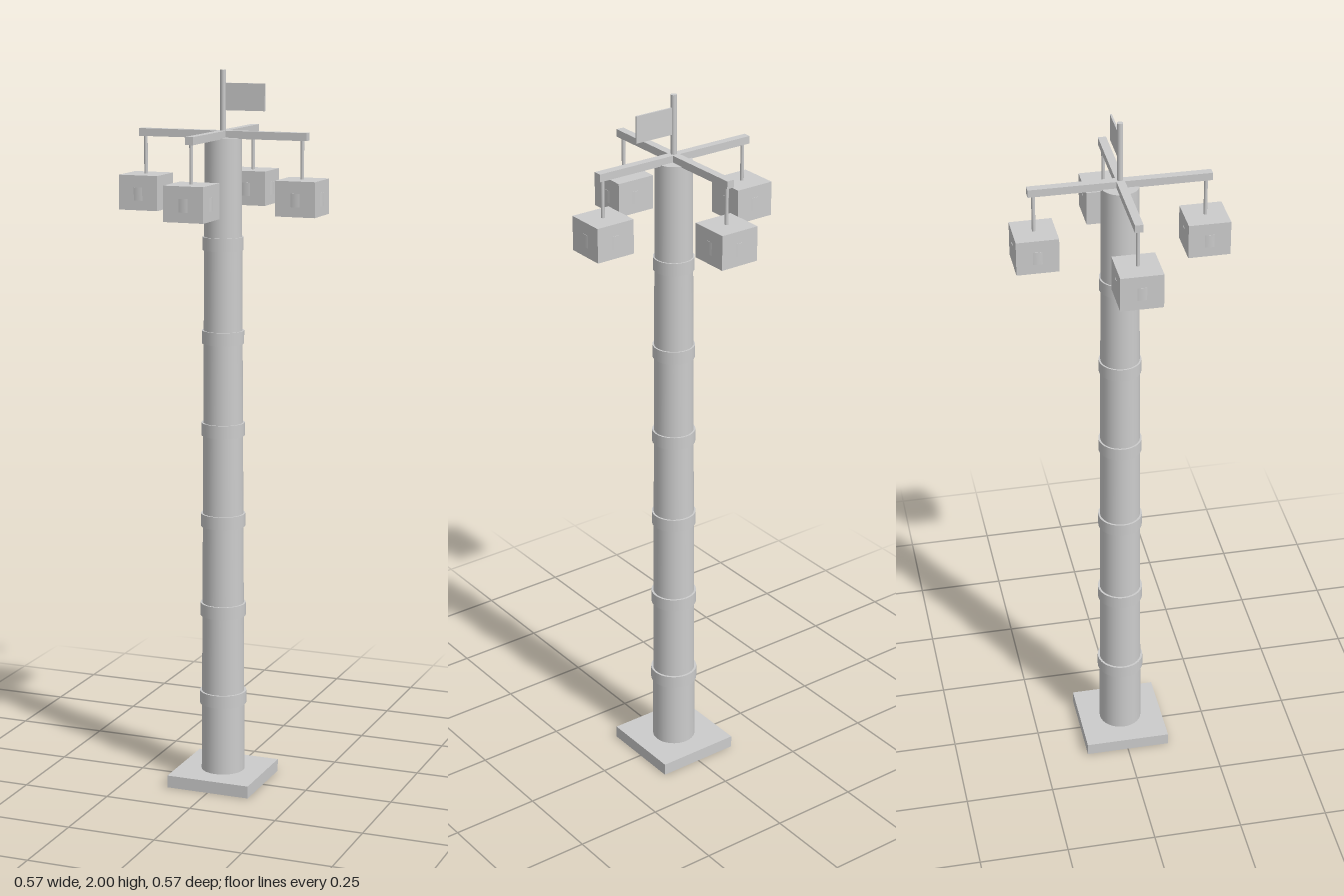
import * as THREE from 'three';

export function createModel() {
  const model = new THREE.Group();
  const grey = new THREE.MeshStandardMaterial({ color: 0xcccccc });
  grey.name = 'light grey';

  const add = (parent, name, geometry, x, y, z) => {
    const mesh = new THREE.Mesh(geometry, grey);
    mesh.name = name;
    mesh.position.set(x, y, z);
    parent.add(mesh);
    return mesh;
  };

  // Square plinth and tapered column
  const bottom = 0.035, top = 1.82;
  const radiusAt = (y) => THREE.MathUtils.mapLinear(y, bottom, top, 0.061, 0.05);
  add(model, 'base', new THREE.BoxGeometry(0.242, bottom, 0.242), 0, bottom / 2, 0);
  add(model, 'column', new THREE.CylinderGeometry(radiusAt(top), radiusAt(bottom), top - bottom, 32),
    0, (top + bottom) / 2, 0);

  // Evenly spaced collars that shrink with the column
  for (let i = 0; i < 6; i++) {
    const y = 0.249 + i * 0.257;
    const r = radiusAt(y) + 0.006 - i * 0.0004;
    add(model, 'collar', new THREE.CylinderGeometry(r, r, 0.036, 32), 0, y, 0);
  }

  // Crossed arms
  add(model, 'crossArm', new THREE.BoxGeometry(0.484, 0.021, 0.022), 0, 1.828, 0);
  add(model, 'crossArm', new THREE.BoxGeometry(0.022, 0.021, 0.484), 0, 1.828, 0);

  // Four hanging lanterns, each with a round core just breaking its sides
  for (let i = 0; i < 4; i++) {
    const lantern = new THREE.Group();
    lantern.name = 'lantern';
    lantern.rotation.y = i * Math.PI / 2;
    add(lantern, 'hanger', new THREE.CylinderGeometry(0.005, 0.005, 0.11, 12), 0.2265, 1.766, 0);
    add(lantern, 'lanternBox', new THREE.BoxGeometry(0.113, 0.095, 0.113), 0.2265, 1.667, 0);
    add(lantern, 'lanternCore', new THREE.CylinderGeometry(0.058, 0.058, 0.036, 32), 0.2265, 1.664, 0);
    model.add(lantern);
  }

  // Mast and flag
  add(model, 'mast', new THREE.CylinderGeometry(0.008, 0.008, 0.18, 16), 0, 1.91, 0);
  add(model, 'flag', new THREE.BoxGeometry(0.115, 0.073, 0.005), 0.0625, 1.929, 0);

  return model;
}
